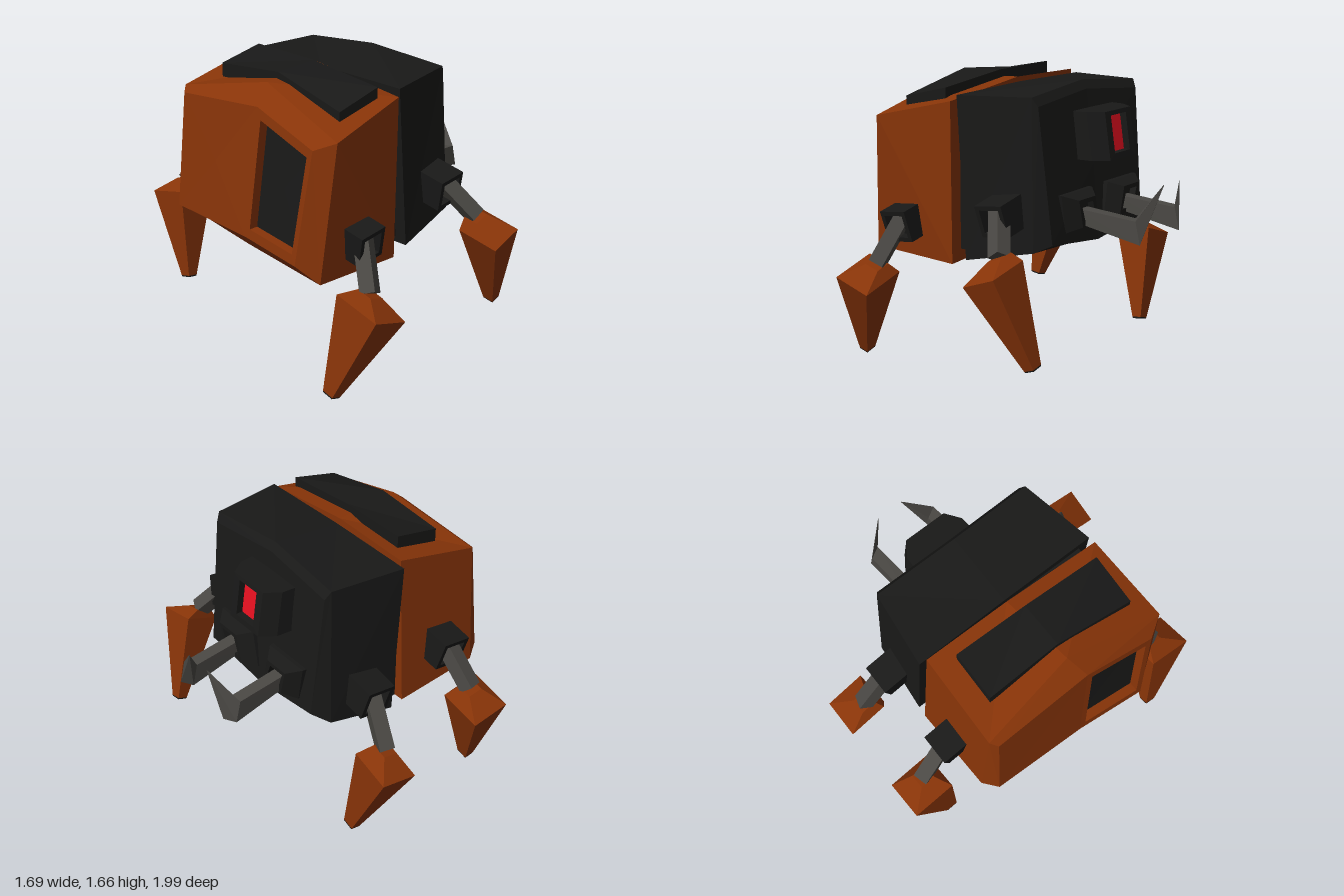
import * as THREE from 'three';

const paint = (color) => new THREE.MeshStandardMaterial({ color, flatShading: true });
const V = (p) => new THREE.Vector3(...p);

// Skin a list of equal-length rings with flat faces and closed ends
function loft(rings) {
  const tris = [];
  const n = rings[0].length;
  for (let r = 0; r < rings.length - 1; r++) {
    for (let i = 0; i < n; i++) {
      const j = (i + 1) % n;
      const [a, b, c, d] = [rings[r][i], rings[r][j], rings[r + 1][j], rings[r + 1][i]];
      tris.push([a, b, c], [a, c, d]);
    }
  }
  const first = rings[0], last = rings[rings.length - 1];
  for (let i = 0; i < n; i++) {
    const j = (i + 1) % n;
    tris.push([centre(first), first[j], first[i]], [centre(last), last[i], last[j]]);
  }
  // keep the faces pointing outwards whichever way the rings run
  const o = centre(first);
  const rel = (p) => V(p).sub(V(o));
  let volume = 0;
  for (const [a, b, c] of tris) volume += rel(a).dot(rel(b).cross(rel(c)));
  if (volume < 0) tris.forEach((t) => t.reverse());
  const g = new THREE.BufferGeometry();
  g.setAttribute('position', new THREE.Float32BufferAttribute(tris.flat(2), 3));
  g.computeVertexNormals();
  return g;
}

function centre(ring) {
  return [0, 1, 2].map((k) => ring.reduce((s, p) => s + p[k], 0) / ring.length);
}

// Shrink a ring about its centre, then shift it along x
function inset(ring, k, dx) {
  const c = centre(ring);
  return ring.map((p) => p.map((q, i) => c[i] + (q - c[i]) * k + (i === 0 ? dx : 0)));
}

// Four-cornered ring around c, square to the axis, spanned mostly by x and z
function legRing(c, axis, hx, hz) {
  return [[-1, -1], [1, -1], [1, 1], [-1, 1]].map(([sx, sz]) => {
    const dx = sx * hx, dz = sz * hz;
    return [c[0] + dx, c[1] - (dx * axis.x + dz * axis.z) / axis.y, c[2] + dz];
  });
}

// Four-cornered ring spanned by two vectors
function quad(c, u, v) {
  return [[-1, -1], [1, -1], [1, 1], [-1, 1]].map(([a, b]) =>
    c.map((q, k) => q + a * u[k] + b * v[k]));
}

// Straight square bar between two points
function bar(a, b, radius) {
  const d = V(b).sub(V(a));
  const g = new THREE.CylinderGeometry(radius, radius, d.length(), 4).rotateY(Math.PI / 4);
  g.applyQuaternion(new THREE.Quaternion().setFromUnitVectors(new THREE.Vector3(0, 1, 0), d.normalize()));
  return g.translate(...V(a).add(V(b)).multiplyScalar(0.5).toArray());
}

export function createModel() {
  const model = new THREE.Group();
  const orange = paint(0x883408), black = paint(0x191918), grey = paint(0x4a4844), red = paint(0xe81020);
  const add = (name, geometry, material, parent = model) => {
    const m = new THREE.Mesh(geometry, material);
    m.name = name;
    parent.add(m);
    return m;
  };

  // Rear body shell, left hollow by a little depth at the back
  const depth = 0.07;
  const back = [[-0.85, 0.73, 0.48], [-0.77, 1.37, 0.54], [-0.74, 1.5, 0.1],
    [-0.74, 1.45, -0.5], [-0.79, 0.78, -0.53], [-0.81, 0.76, 0.05]];
  add('rearBody', loft([
    [[-0.2, 0.61, 0.6], [-0.19, 1.54, 0.61], [-0.18, 1.61, 0], [-0.17, 1.6, -0.53], [-0.17, 0.69, -0.59], [-0.19, 0.65, 0]],
    [[-0.77, 0.63, 0.59], [-0.7, 1.42, 0.65], [-0.62, 1.6, 0.05], [-0.7, 1.48, -0.535], [-0.7, 0.74, -0.59], [-0.74, 0.68, 0]],
    back, inset(back, 1, depth),
  ]), orange);
  // Back face: one plain half, one half with a sunken window
  const [a, b, c, d, e, f] = back;
  const plain = [c, d, e, f], framed = [a, b, c, f];
  add('backPanel', loft([inset(plain, 1, depth), plain]), orange);
  add('windowFrame', loft([inset(framed, 1, depth), framed, inset(framed, 0.84, 0), inset(framed, 0.84, depth - 0.005)]), orange);
  add('rearWindow', loft([inset(framed, 0.84, depth), inset(framed, 0.84, depth - 0.015)]), black);

  // Bent plate on the roof
  const plate = [[0.54, -0.57, 1.53, -0.28, 1.6], [0.05, -0.54, 1.64, -0.27, 1.65], [-0.4, -0.54, 1.6, -0.26, 1.655]];
  add('roofPlate', loft(plate.map(([z, x0, y0, x1, y1]) =>
    [[x0, y0 - 0.08, z], [x1, y1 - 0.08, z], [x1, y1, z], [x0, y0, z]])), black);

  // Neck between the two body halves
  add('neck', new THREE.BoxGeometry(0.12, 0.83, 1.05).translate(-0.15, 1.1, 0), black);

  // Head
  add('head', loft([
    [[-0.1, 0.65, 0.6], [-0.16, 1.575, 0.59], [-0.16, 1.585, 0], [-0.16, 1.575, -0.57], [-0.1, 0.66, -0.58], [-0.1, 0.65, 0]],
    [[0.32, 0.74, 0.54], [0.29, 1.59, 0.51], [0.27, 1.63, 0], [0.29, 1.58, -0.51], [0.31, 0.73, -0.54], [0.28, 0.7, 0]],
    [[0.4, 0.78, 0.47], [0.32, 1.54, 0.49], [0.3, 1.58, 0], [0.32, 1.53, -0.49], [0.39, 0.78, -0.46], [0.39, 0.72, 0]],
  ]), black);

  // Eye sunk into a bevelled housing
  const eyeRing = (x, hy, hz, y = 1.34) => quad([x, y, -0.04], [0.15 * hy, -hy, 0], [0, 0, hz]);
  add('eyeHousing', loft([eyeRing(0.3, 0.135, 0.2), eyeRing(0.42, 0.135, 0.19), eyeRing(0.505, 0.135, 0.13),
    eyeRing(0.505, 0.105, 0.077, 1.345), eyeRing(0.46, 0.105, 0.077, 1.345)]), black);
  add('eye', loft([eyeRing(0.45, 0.105, 0.077, 1.345), eyeRing(0.465, 0.105, 0.077, 1.345)]), red);

  // Mandibles with their sockets
  for (const s of [1, -1]) {
    const z = s * 0.21 - 0.01;
    const jaw = new THREE.Group();
    jaw.name = s > 0 ? 'rightMandible' : 'leftMandible';
    model.add(jaw);
    const rim = (x, hy, hz) => quad([x, 0.93, z], [0, hy, s * 0.02], [0, 0, hz]);
    add('mandibleSocket', loft([rim(0.32, 0.11, 0.16), rim(0.39, 0.11, 0.15), rim(0.46, 0.08, 0.08),
      rim(0.46, 0.055, 0.055), rim(0.42, 0.055, 0.055)]), black, jaw);
    add('mandible', loft([
      quad([0.38, 0.91, z], [0, 0.04, 0], [0, 0, 0.04]),
      quad([0.765, 0.855, s * 0.21 - 0.03], [-0.015, 0.065, 0], [0.02, 0, 0.035]),
      quad([0.84, 1.1, s * 0.085 - 0.045], [0, 0.002, 0], [0, 0, 0.002]),
    ]), grey, jaw);
  }

  // Legs: socket, strut and tapered foot
  const legs = [
    { name: 'rearLegRight', socket: [-0.51, 0.83, 0.6], knee: [-0.6, 0.59, 0.79], wide: [-0.635, 0.53, 0.83], tip: [-0.79, 0.025, 0.69], hx: 0.115, hz: 0.14 },
    { name: 'frontLegRight', socket: [0.16, 0.95, 0.58], knee: [0.28, 0.77, 0.79], wide: [0.3, 0.7, 0.87], tip: [0.485, 0.185, 0.77], hx: 0.1, hz: 0.13 },
    { name: 'rearLegLeft', socket: [-0.44, 0.98, -0.58], knee: [-0.47, 0.78, -0.83], wide: [-0.49, 0.7, -0.86], tip: [-0.57, 0.19, -0.74], hx: 0.12, hz: 0.13 },
    { name: 'frontLegLeft', socket: [0.11, 0.9, -0.58], knee: [0.14, 0.63, -0.81], wide: [0.17, 0.56, -0.85], tip: [0.26, 0.045, -0.68], hx: 0.115, hz: 0.12 },
  ];
  for (const { name, socket, knee, wide, tip, hx, hz } of legs) {
    const leg = new THREE.Group();
    leg.name = name;
    model.add(leg);
    const s = Math.sign(socket[2]);
    const rim = (out, r) => quad([socket[0], socket[1] - out * 0.2, socket[2] + s * out],
      [r, r * 0.12, 0], [-r * 0.12, r, s * r * 0.25]);
    add('socket', loft([rim(-0.08, 0.09), rim(0.12, 0.09), rim(0.12, 0.065), rim(0.06, 0.065)]), black, leg);
    add('strut', bar([socket[0], socket[1] + 0.03, socket[2] + s * 0.05], knee, 0.062), grey, leg);
    const axis = V(tip).sub(V(wide)).normalize();
    add('foot', loft([legRing(knee, axis, 0.045, 0.045), legRing(wide, axis, hx, hz), legRing(tip, axis, 0.03, 0.035)]), orange, leg);
    const end = V(tip).addScaledVector(axis, 0.008).toArray();
    add('footTip', loft([legRing(tip, axis, 0.03, 0.035), legRing(end, axis, 0.028, 0.033)]), black, leg);
  }
  return model;
}
